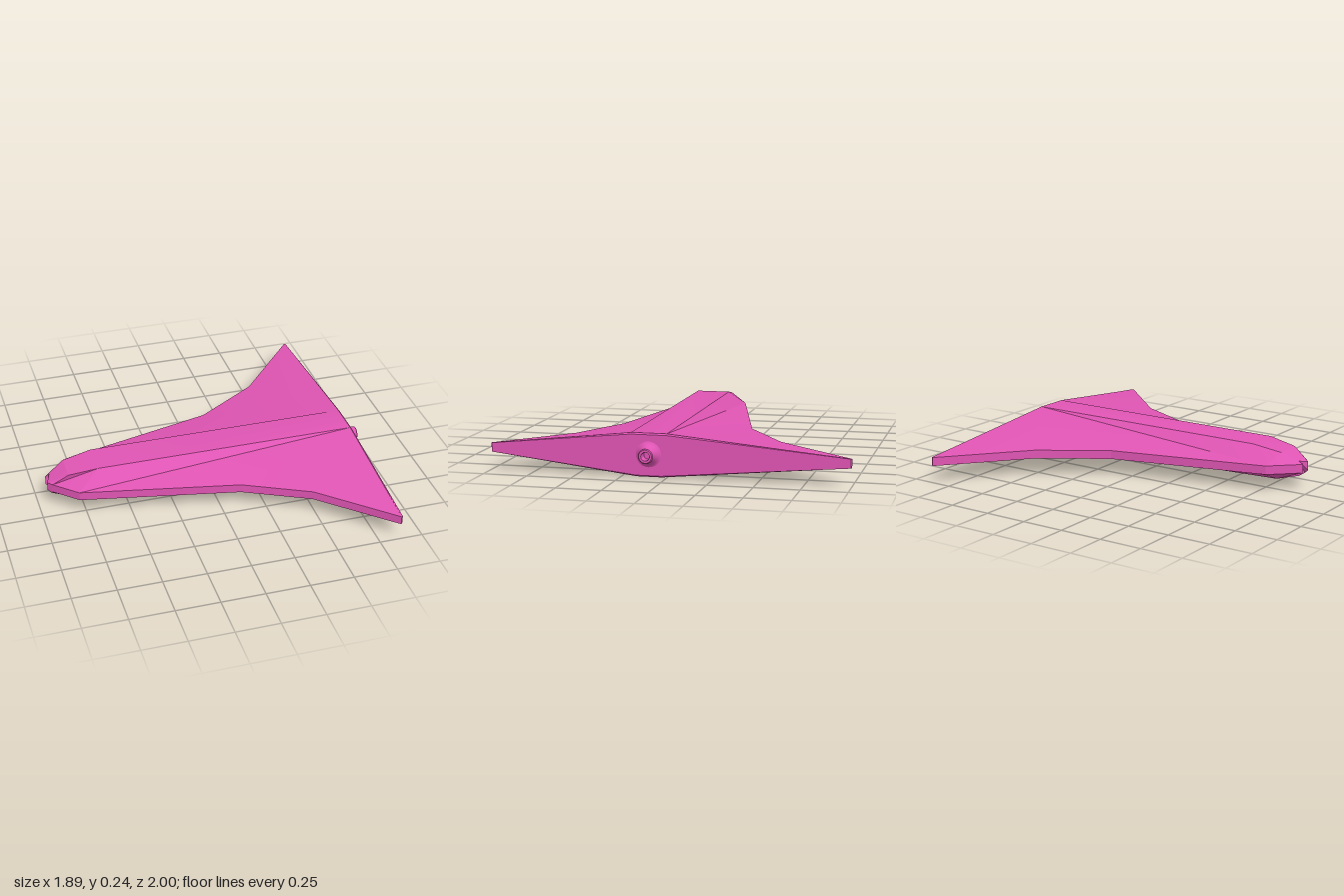
import * as THREE from 'three';
import { toCreasedNormals } from 'three/addons/utils/BufferGeometryUtils.js';

const MID_Z = 0.1; // keel line of the craft
const RIM_LOW = 0.1, RIM_HIGH = 0.15;

// Hull stations from nose to tail:
// rim [x, reach to -z, reach to +z], roof and keel [x, y, half width]
const ROOF_END = [0.865, 0.24, 0.1], KEEL_END = [0.865, 0.0, 0.07];
const KEEL_FRONT = [-0.8, 0.05, 0.07];
const STATIONS = [
  { rim: [-0.945, 0.03, 0.03], roof: [-0.92, 0.165, 0.035], keel: [-0.925, 0.08, 0.035] },
  { rim: [-0.92, 0.06, 0.06], roof: [-0.83, 0.212, 0.08], keel: KEEL_FRONT },
  { rim: [-0.79, 0.18, 0.18], roof: [-0.66, 0.24, 0.1], keel: KEEL_FRONT },
  { rim: [-0.79, 0.18, 0.18], roof: ROOF_END, keel: KEEL_END },
  { rim: [0.11, 0.41, 0.36], roof: ROOF_END, keel: KEEL_END },
  { rim: [0.48, 0.65, 0.54], roof: ROOF_END, keel: KEEL_END },
  { rim: [0.867, 1.1, 0.9], roof: ROOF_END, keel: KEEL_END },
  { rim: [0.875, 1.095, 0.895], roof: [0.875, 0.232, 0.1], keel: [0.875, 0.008, 0.07] },
];

// Eight-sided cross-section of one station
function section({ rim, roof, keel }) {
  const p = (x, y, z) => new THREE.Vector3(x, y, MID_Z + z);
  return [
    p(roof[0], roof[1], -roof[2]), p(roof[0], roof[1], roof[2]),
    p(rim[0], RIM_HIGH, rim[2]), p(rim[0], RIM_LOW, rim[2]),
    p(keel[0], keel[1], keel[2]), p(keel[0], keel[1], -keel[2]),
    p(rim[0], RIM_LOW, -rim[1]), p(rim[0], RIM_HIGH, -rim[1]),
  ];
}

function hullGeometry() {
  const rings = STATIONS.map(section), points = [];
  const tri = (a, b, c) => {
    // Stations may share points, so empty triangles are dropped
    if (new THREE.Triangle(a, b, c).getArea() > 1e-7) points.push(a, b, c);
  };
  for (let i = 0; i + 1 < rings.length; i++) {
    const r = rings[i], s = rings[i + 1];
    for (let j = 0; j < 8; j++) {
      const k = (j + 1) % 8;
      tri(r[j], r[k], s[j]);
      tri(r[k], s[k], s[j]);
    }
  }
  // Nose and tail caps
  const nose = rings[0], tail = rings[rings.length - 1];
  for (let j = 1; j < 7; j++) {
    tri(nose[0], nose[j + 1], nose[j]);
    tri(tail[0], tail[j], tail[j + 1]);
  }
  const geometry = new THREE.BufferGeometry().setFromPoints(points);
  geometry.computeVertexNormals();
  return toCreasedNormals(geometry, 0.3);
}

// Flared tail nozzle with a blind bore
function nozzleGeometry() {
  const profile = [
    [0.085, 0], [0.068, 0.006], [0.057, 0.016], [0.05, 0.03], [0.043, 0.045],
    [0.041, 0.068], [0.036, 0.073], [0.024, 0.073], [0.022, 0.068], [0.022, 0.02], [0, 0.02],
  ].map(([r, h]) => new THREE.Vector2(r, h));
  const geometry = new THREE.LatheGeometry(profile, 24);
  geometry.rotateZ(-Math.PI / 2);
  return toCreasedNormals(geometry, 0.6);
}

export function createModel() {
  const group = new THREE.Group();
  group.name = 'deltaWingCraft';
  const material = new THREE.MeshStandardMaterial({ color: 0xe055b4 });

  const hull = new THREE.Mesh(hullGeometry(), material);
  hull.name = 'wingedHull';

  const nozzle = new THREE.Mesh(nozzleGeometry(), material);
  nozzle.name = 'tailNozzle';
  nozzle.position.set(0.87, 0.125, MID_Z);

  group.add(hull, nozzle);
  return group;
}
